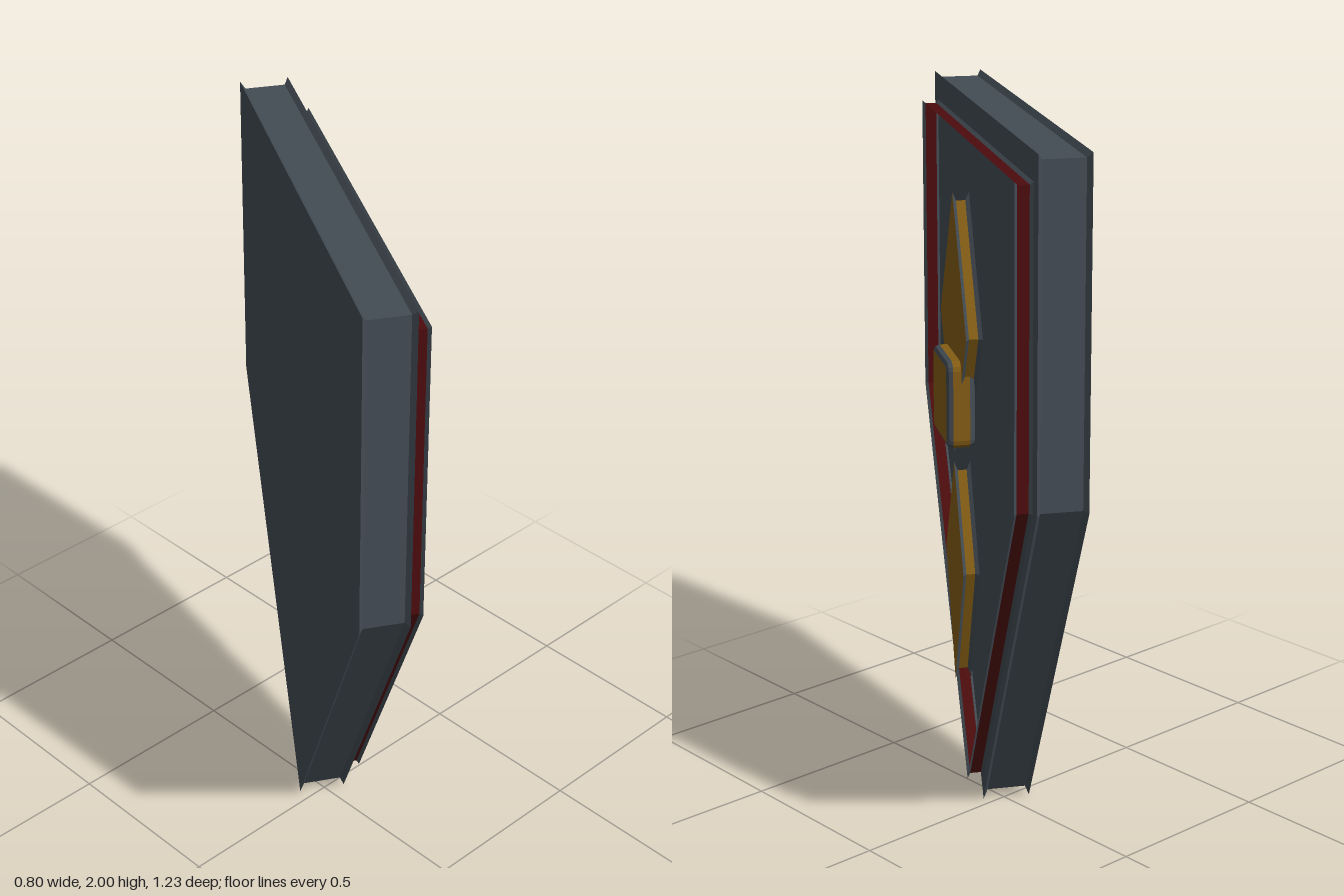
import * as THREE from 'three';

const steel = new THREE.MeshStandardMaterial({ color: 0x434c54 });
steel.name = 'steel';
const gold = new THREE.MeshStandardMaterial({ color: 0x835c14 });
gold.name = 'gold';
const darkRed = new THREE.MeshStandardMaterial({ color: 0x4c0c0e, side: THREE.DoubleSide });
darkRed.name = 'dark red';
const rimSteel = steel;

// Mitred inset of a counter-clockwise outline
function inset(points, d) {
  const n = points.length;
  return points.map((p, i) => {
    const a = p.clone().sub(points[(i + n - 1) % n]).normalize();
    const b = points[(i + 1) % n].clone().sub(p).normalize();
    const na = new THREE.Vector2(-a.y, a.x);
    const nb = new THREE.Vector2(-b.y, b.x);
    return na.clone().add(nb).multiplyScalar(d / (1 + na.dot(nb))).add(p);
  });
}

// Strip of walls between two loops at two depths
function band(points, [z0, d0], [z1, d1], doubled) {
  const lo = inset(points, d0), hi = inset(points, d1), pos = [];
  for (let i = 0; i < points.length; i++) {
    const j = (i + 1) % points.length;
    const q = [[lo[i], z0], [lo[j], z0], [hi[j], z1], [hi[i], z1]];
    const order = doubled ? [0, 1, 2, 0, 2, 3, 0, 2, 1, 0, 3, 2] : [0, 1, 2, 0, 2, 3];
    for (const k of order) pos.push(q[k][0].x, q[k][0].y, q[k][1]);
  }
  const g = new THREE.BufferGeometry();
  g.setAttribute('position', new THREE.Float32BufferAttribute(pos, 3));
  g.computeVertexNormals();
  return g;
}

// Layered solid: layers are [z, inset]; the middle band is the wall
function slab(name, points, layers, mats, open = false) {
  const group = new THREE.Group();
  group.name = name;
  const add = (geo, mat, part) => {
    const m = new THREE.Mesh(geo, mat);
    m.name = name + part;
    group.add(m);
    return m;
  };
  const middle = (layers.length - 2) / 2;
  for (let i = 0; i < layers.length - 1; i++) {
    const isWall = i === middle;
    add(band(points, layers[i], layers[i + 1], open && !isWall),
      isWall ? mats.wall : mats.edge, isWall ? 'Wall' : 'Edge');
  }
  if (!open) {
    const last = layers[layers.length - 1];
    add(new THREE.ShapeGeometry(new THREE.Shape(inset(points, last[1]))), mats.cap, 'Front').position.z = last[0];
    const back = add(new THREE.ShapeGeometry(new THREE.Shape(
      inset(points, layers[0][1]).map(p => new THREE.Vector2(-p.x, p.y)).reverse())), mats.cap, 'Back');
    back.rotation.y = Math.PI;
    back.position.z = layers[0][0];
  }
  return group;
}

const outline = list => list.map(([x, y]) => new THREE.Vector2(x, y));
const shieldOutline = (w, top, shoulder, tip) =>
  outline([[0, tip], [w, shoulder], [w, top], [-w, top], [-w, shoulder]]);
const diamond = (w, top, mid, bottom) => outline([[0, bottom], [w, mid], [0, top], [-w, mid]]);

// Edges that flare out towards both faces
const flared = (z0, z1, t, d) => [[z0, 0], [z0 + t, d], [z1 - t, d], [z1, 0]];

function roundedRect(cx, cy, w, h, r) {
  const pts = [];
  [[1, -1, -90], [1, 1, 0], [-1, 1, 90], [-1, -1, 180]].forEach(([sx, sy, start]) => {
    for (let k = 0; k <= 3; k++) {
      const a = THREE.MathUtils.degToRad(start + k * 30);
      pts.push([cx + sx * (w - r) + r * Math.cos(a), cy + sy * (h - r) + r * Math.sin(a)]);
    }
  });
  return outline(pts);
}

export function createModel() {
  const model = new THREE.Group();
  model.name = 'shield';
  const body = new THREE.Group();
  body.name = 'shieldBody';
  body.rotation.y = Math.PI / 3;
  model.add(body);

  // Main plate
  body.add(slab('plate', shieldOutline(0.67, 2, 1.09, 0), flared(-0.074, 0.06, 0.012, 0.015),
    { wall: steel, edge: steel, cap: steel }));

  // Raised thin border, open at the front
  body.add(slab('border', shieldOutline(0.62, 1.925, 1.08, 0.07), flared(0.06, 0.107, 0.008, 0.008),
    { wall: darkRed, edge: rimSteel }, true));

  // Ornaments
  const trim = { wall: gold, edge: steel, cap: gold };
  body.add(slab('upperDiamond', diamond(0.18, 1.78, 1.42, 1.06), flared(0.095, 0.14, 0.01, 0.01), trim));
  body.add(slab('lowerDiamond', diamond(0.125, 1.03, 0.74, 0.385), flared(0.095, 0.14, 0.01, 0.01), trim));
  body.add(slab('centreBlock', roundedRect(0, 1.22, 0.11, 0.122, 0.025),
    [[0.1, 0.016], [0.105, 0.005], [0.116, 0], [0.162, 0], [0.173, 0.005], [0.178, 0.016]], trim));

  return model;
}
